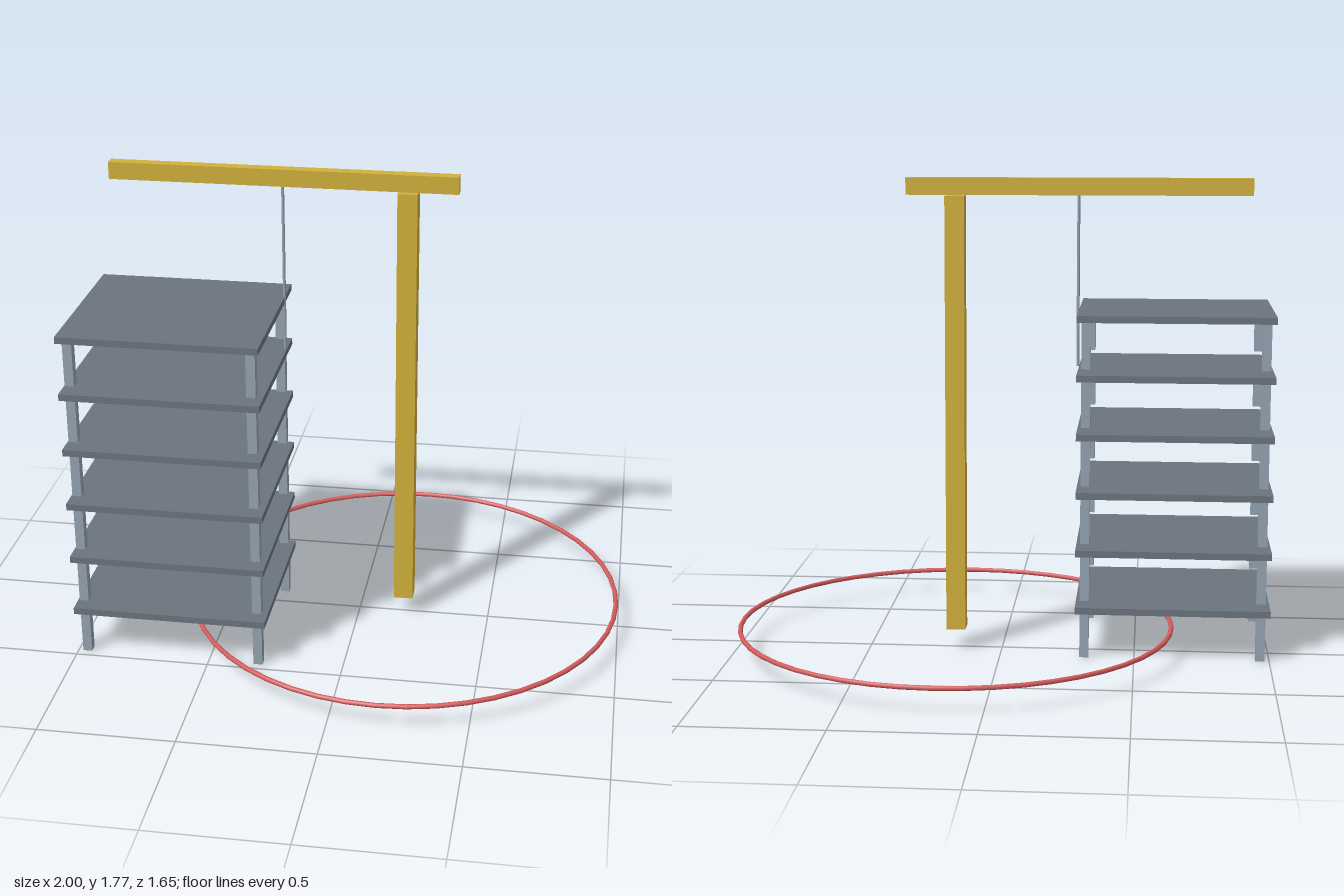
import * as THREE from 'three';

const material = (name, color) => {
  const m = new THREE.MeshStandardMaterial({ color });
  m.name = name;
  return m;
};

export function createModel() {
  const slabGrey = material('slab grey', 0x6b747e);
  const columnGrey = material('column blue grey', 0x94a3b1);
  const craneYellow = material('crane yellow', 0xd1b03a);
  const ringRed = material('ring red', 0xd65c5c);

  const model = new THREE.Group();
  model.name = 'towerAndCrane';

  // Box given by its centre in x and z, and its bottom and top in y
  const box = (parent, name, mat, x, z, w, d, y0, y1) => {
    const mesh = new THREE.Mesh(new THREE.BoxGeometry(w, y1 - y0, d), mat);
    mesh.name = name;
    mesh.position.set(x, (y0 + y1) / 2, z);
    parent.add(mesh);
    return mesh;
  };

  // Six storeys, each four corner columns carrying a slab
  const building = new THREE.Group();
  building.name = 'building';
  building.position.set(-0.64, 0, 0.181);
  model.add(building);
  const storey = 0.217;
  for (let i = 0; i < 6; i++) {
    const floor = new THREE.Group();
    floor.name = `storey${i + 1}`;
    floor.position.y = i * storey;
    building.add(floor);
    box(floor, 'slab', slabGrey, 0, 0, 0.72, 0.634, 0.172, 0.197);
    for (const sx of [-1, 1]) {
      for (const sz of [-1, 1]) {
        box(floor, 'column', columnGrey, sx * 0.326, sz * 0.272, 0.034, 0.034, 0, 0.172);
      }
    }
  }

  // Crane: mast, boom and hoist cable
  const crane = new THREE.Group();
  crane.name = 'crane';
  model.add(crane);
  box(crane, 'mast', craneYellow, 0.173, 0, 0.072, 0.072, 0.075, 1.706);
  box(crane, 'boom', craneYellow, -0.279, 0, 1.265, 0.042, 1.709, 1.772);
  const cable = new THREE.Mesh(new THREE.CylinderGeometry(0.0055, 0.0055, 0.627, 8), columnGrey);
  cable.name = 'cable';
  cable.position.set(-0.28, 1.3955, 0);
  crane.add(cable);

  // Swing radius ring around the mast
  const ring = new THREE.Mesh(new THREE.TorusGeometry(0.814, 0.009, 8, 48), ringRed);
  ring.name = 'swingRing';
  ring.rotation.x = Math.PI / 2;
  ring.position.set(0.175, 0.093, 0);
  model.add(ring);

  return model;
}
